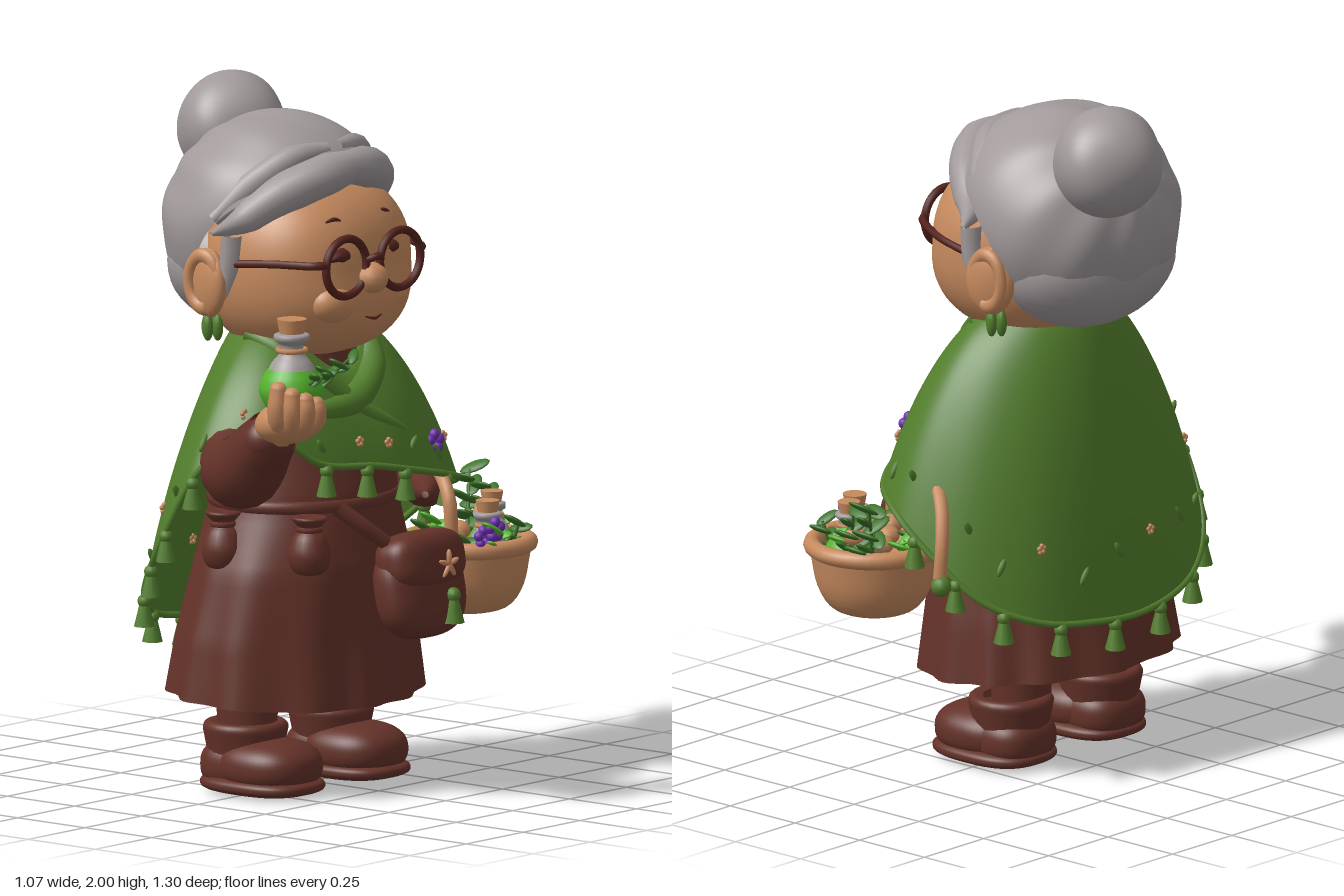
import * as THREE from 'three';

const V = (a) => new THREE.Vector3(...a);
const mat = (name, color) => new THREE.MeshStandardMaterial({ name, color, side: THREE.DoubleSide });

export function createModel() {
  const root = new THREE.Group();
  const skin = mat('skin and wicker', 0xc68a5e), grey = mat('grey hair', 0xa1999a), brown = mat('brown cloth', 0x643229);
  const green = mat('shawl green', 0x527d2c), dark = mat('dark frame', 0x54231d), potion = mat('potion green', 0x55b32c);
  const leafMat = mat('leaf green', 0x3d7328), purple = mat('purple petals', 0x6d2fae);

  const add = (name, geo, m, p = [0, 0, 0], r = [0, 0, 0], parent = root) => {
    const mesh = new THREE.Mesh(geo, m);
    mesh.name = name;
    mesh.position.set(...p);
    mesh.rotation.set(...r);
    parent.add(mesh);
    return mesh;
  };
  // ellipsoid
  const ball = (name, m, p, s, r, parent) => {
    const small = Math.max(...s) < 0.06;
    return add(name, new THREE.SphereGeometry(1, small ? 12 : 32, small ? 8 : 22).scale(...s), m, p, r, parent);
  };
  // ellipsoid squared off by exponent e, its lower front pushed out by jowl
  const boxy = (name, m, p, s, r, e = 2.6, jowl = 0) => {
    const geo = new THREE.SphereGeometry(1, 48, 32), pos = geo.attributes.position;
    for (let i = 0; i < pos.count; i++) {
      const n = [pos.getX(i), pos.getY(i), pos.getZ(i)];
      const k = 1 / Math.pow(n.reduce((a, b) => a + Math.pow(Math.abs(b), e), 0), 1 / e);
      const push = 1 + jowl * Math.max(0, -n[1]) * Math.max(0, n[0]);
      pos.setXYZ(i, n[0] * k * s[0] * push, n[1] * k * s[1], n[2] * k * s[2]);
    }
    geo.computeVertexNormals();
    return add(name, geo, m, p, r);
  };
  // tube whose radius follows a list
  const limb = (name, m, pts, radii, n = 20, sides = 12) => {
    const curve = new THREE.CatmullRomCurve3(pts.map(V));
    const geo = new THREE.TubeGeometry(curve, n, 1, sides);
    const pos = geo.attributes.position, v = new THREE.Vector3();
    for (let i = 0; i <= n; i++) {
      const c = curve.getPointAt(i / n), f = (i / n) * (radii.length - 1), k = Math.min(Math.floor(f), radii.length - 2);
      const rad = THREE.MathUtils.lerp(radii[k], radii[k + 1], f - k);
      for (let j = 0; j <= sides; j++) {
        const q = i * (sides + 1) + j;
        v.fromBufferAttribute(pos, q).sub(c).multiplyScalar(rad).add(c);
        pos.setXYZ(q, v.x, v.y, v.z);
      }
    }
    return add(name, geo, m);
  };
  // closed rings joined into a skin: f(row, angle fraction) gives a point
  const loft = (rows, cols, f) => {
    const p = [], idx = [];
    for (let i = 0; i <= rows; i++) for (let j = 0; j < cols; j++) p.push(...f(i / rows, j / cols));
    for (let i = 0; i < rows; i++) for (let j = 0; j < cols; j++) {
      const a = i * cols + j, b = i * cols + (j + 1) % cols;
      idx.push(a, a + cols, b, b, a + cols, b + cols);
    }
    const g = new THREE.BufferGeometry();
    g.setAttribute('position', new THREE.Float32BufferAttribute(p, 3));
    g.setIndex(idx);
    g.computeVertexNormals();
    return g;
  };
  const lathe = (pts, n = 24) => new THREE.LatheGeometry(new THREE.SplineCurve(pts.map((q) => new THREE.Vector2(...q))).getPoints(24), n);

  // boots and legs
  for (const [z, legZ] of [[0.238, 0.225], [-0.138, -0.1]]) {
    add('leg', new THREE.CylinderGeometry(0.1, 0.085, 0.3, 20), brown, [-0.05, 0.33, legZ]);
    add('bootShaft', lathe([[0.108, 0.02], [0.108, 0.1], [0.118, 0.16], [0.122, 0.19], [0.108, 0.205], [0.08, 0.2]]), brown, [-0.045, 0, z]);
    boxy('bootFoot', brown, [0.045, 0.085, z], [0.15, 0.078, 0.134], undefined, 2.4);
    boxy('bootHeel', brown, [-0.05, 0.08, z], [0.115, 0.075, 0.118]);
    boxy('bootSole', brown, [0.018, 0.03, z], [0.182, 0.03, 0.138], undefined, 2.7);
  }

  // dress: y, centre x, centre z, radius x, radius z
  const dressRows = [[0.28, -0.02, 0.05, 0.32, 0.415], [0.45, -0.015, 0.05, 0.295, 0.395], [0.65, 0, 0.045, 0.275, 0.355], [0.82, 0, 0.035, 0.255, 0.295],
    [0.88, 0, 0.035, 0.25, 0.285], [1.05, 0, 0.03, 0.22, 0.26], [1.18, -0.02, 0.03, 0.155, 0.19], [1.3, -0.02, 0.03, 0.12, 0.14]];
  add('dress', loft(42, 96, (t, u) => {
    const f = t * 7, k = Math.min(6, Math.floor(f)), r = dressRows[k].map((a, i) => THREE.MathUtils.lerp(a, dressRows[k + 1][i], f - k));
    const a = u * Math.PI * 2, fold = 1 + 0.028 * Math.max(0, 1 - t * 2.3) * Math.sin(a * 12 + Math.sin(a * 3));
    return [r[1] + Math.cos(a) * r[3] * fold, r[0] - 0.02 * Math.cos(a) * Math.max(0, 1 - t * 4), r[2] + Math.sin(a) * r[4] * fold];
  }), brown);
  add('belt', new THREE.TorusGeometry(1, 0.05, 10, 64).rotateX(Math.PI / 2).scale(0.248, 0.4, 0.288), brown, [0, 0.84, 0.035]);
  add('collar', new THREE.TorusGeometry(0.13, 0.025, 10, 32).rotateX(Math.PI / 2), brown, [0, 1.22, 0.04], [0, 0, -0.3]);

  // pouches on the belt
  for (const [x, z] of [[-0.03, 0.355], [0.22, 0.27]]) {
    add('pouch', lathe([[0.001, 0], [0.045, 0.012], [0.062, 0.06], [0.048, 0.11], [0.03, 0.135], [0.052, 0.17], [0.001, 0.165]], 18), brown, [x, 0.655, z]);
    add('pouchTie', new THREE.TorusGeometry(0.031, 0.009, 6, 16).rotateX(Math.PI / 2), brown, [x, 0.79, z]);
  }

  // tassel, hung from its top
  const tassel = (p, s = 1) => {
    const g = new THREE.Group();
    g.name = 'tassel';
    ball('tasselKnot', green, [0, -0.015, 0], [0.02, 0.02, 0.02], undefined, g);
    add('tasselFringe', new THREE.CylinderGeometry(0.014, 0.03, 0.065, 9), green, [0, -0.055, 0], undefined, g);
    g.position.set(...p);
    g.scale.setScalar(s);
    root.add(g);
  };

  // shawl from neck ring down to a slanting hem
  const hem = new THREE.CatmullRomCurve3([[0.28, 0.95, 0.05], [0.25, 0.98, 0.26], [0.17, 1.08, 0.4], [0.03, 0.98, 0.52], [-0.07, 0.79, 0.56], [-0.2, 0.6, 0.5],
    [-0.3, 0.5, 0.34], [-0.35, 0.46, 0.1], [-0.35, 0.47, -0.1], [-0.3, 0.5, -0.3], [-0.2, 0.57, -0.43], [-0.08, 0.68, -0.49], [0.06, 0.79, -0.5],
    [0.18, 0.84, -0.43], [0.26, 0.88, -0.28], [0.29, 0.92, -0.1]].map(V), true);
  const shawl = (t, u) => {
    const h = hem.getPoint(u), a = Math.atan2(h.z - 0.02, h.x + 0.03), c = Math.cos(a), s = Math.sin(a);
    const k = 0.3 * Math.sin(t * Math.PI / 2) + 0.7 * t;
    const top = 1.34 - 0.13 * Math.pow(Math.max(0, c), 3);
    return [THREE.MathUtils.lerp(-0.03 + 0.16 * c, h.x, k), THREE.MathUtils.lerp(top, h.y, Math.pow(t, 1.45)), THREE.MathUtils.lerp(0.02 + 0.18 * s, h.z, k)];
  };
  add('shawl', loft(28, 128, shawl), green);
  add('shawlHem', new THREE.TubeGeometry(hem, 140, 0.01, 7, true), green);
  // crossed front wraps, laid just under the shawl surface
  const wrap = (a, radii) => limb('shawlFold', green, a.map(([t, u]) => {
    const p = shawl(t, u);
    return [p[0] - 0.015, p[1], p[2]];
  }), radii, 30);
  wrap([[0.1, 0.8], [0.25, 0.92], [0.45, 0], [0.65, 0.06], [0.8, 0.12]], [0.03, 0.04, 0.045, 0.03, 0.012]);
  wrap([[0.1, 0.2], [0.25, 0.1], [0.5, 0], [0.7, 0.94], [0.85, 0.89]], [0.03, 0.035, 0.033, 0.02, 0.01]);
  for (const u of [0.01, 0.055, 0.2, 0.25, 0.285, 0.325, 0.37, 0.42, 0.48, 0.54, 0.6, 0.66, 0.72, 0.87, 0.95]) tassel(hem.getPoint(u).toArray());

  // embroidered blossoms and leaves near the hem
  const flower = (p, m, s = 0.014) => {
    for (let i = 0; i < 5; i++) ball('petal', m, [p[0], p[1] + s * Math.cos(i * 1.257), p[2] + s * Math.sin(i * 1.257)], [s * 0.7, s * 0.75, s * 0.75]);
  };
  flower(shawl(0.75, 0.095), purple, 0.017);
  flower(shawl(0.84, 0.875), purple, 0.022);
  for (let i = 0; i < 22; i++) {
    const u = (i + 0.3) / 22;
    if (i % 3 === 0) flower(shawl(0.82, u), skin, 0.01);
    else ball('stitchedLeaf', green, shawl(0.84 + 0.05 * (i % 2), u), [0.009, 0.03, 0.011], [0.6 * (i % 2 ? 1 : -1), 0, 0]);
  }

  // arms
  limb('raisedSleeve', brown, [[0.03, 1.1, 0.28], [0.07, 0.99, 0.41], [0.15, 0.98, 0.47], [0.24, 1.06, 0.5], [0.29, 1.11, 0.51]], [0.075, 0.105, 0.115, 0.098, 0.075], 28, 18);
  ball('raisedCuff', brown, [0.27, 1.09, 0.505], [0.07, 0.07, 0.085], [0, 0, 0.7]);
  limb('basketSleeve', brown, [[0, 1.08, -0.2], [0.04, 0.94, -0.34], [0.12, 0.84, -0.35], [0.2, 0.82, -0.27], [0.22, 0.82, -0.24]], [0.06, 0.09, 0.085, 0.07, 0.01], 24, 16);

  // raised hand cupping a bottle, fingers curled on its outer side
  limb('wrist', skin, [[0.27, 1.09, 0.5], [0.31, 1.13, 0.515], [0.35, 1.16, 0.525]], [0.055, 0.062, 0.06], 10);
  ball('palm', skin, [0.37, 1.155, 0.53], [0.108, 0.065, 0.098], [0, 0, 0.25]);
  for (let i = 0; i < 4; i++) {
    const a = 0.05 + i * 0.42, c = Math.cos(a), s = Math.sin(a), top = 1.215 + 0.015 * i, at = (r, y) => [0.37 + r * c, y, 0.525 + r * s * 0.95];
    limb('finger', skin, [at(0.03, 1.14), at(0.08, 1.16), at(0.1, 1.2), at(0.095, top)], [0.034, 0.034, 0.03, 0.025], 14, 10);
    ball('fingertip', skin, at(0.095, top), [0.025, 0.022, 0.025]);
  }
  limb('thumb', skin, [[0.33, 1.13, 0.48], [0.285, 1.17, 0.455], [0.275, 1.21, 0.45], [0.285, 1.24, 0.45]], [0.04, 0.034, 0.03, 0.025], 14, 10);
  ball('thumbTip', skin, [0.285, 1.24, 0.45], [0.025, 0.023, 0.025]);

  // leaf sprig
  const sprig = (p, tip, n = 5, s = 1, m = leafMat) => {
    limb('stem', m, [p, p.map((a, i) => (a + tip[i]) / 2), tip], [0.007, 0.004], 6, 6);
    for (let i = 0; i < n; i++) {
      const k = (i + 1) / n, q = p.map((a, j) => a + (tip[j] - a) * k), side = i % 2 ? 1 : -1;
      ball('leaf', m, [q[0], q[1] + 0.005, q[2] + side * 0.022 * s], [0.022 * s, 0.008, 0.042 * s], [-side * 0.6, i * 0.9, 0]);
    }
  };
  // corked potion bottle standing at p
  const bottle = (p, s = 1) => {
    const g = new THREE.Group();
    g.name = 'potionBottle';
    add('liquid', lathe([[0.001, 0], [0.06, 0.008], [0.092, 0.06], [0.087, 0.1], [0.068, 0.132]]), potion, undefined, undefined, g);
    add('glass', lathe([[0.07, 0.125], [0.056, 0.15], [0.036, 0.175], [0.034, 0.2], [0.05, 0.215], [0.05, 0.23], [0.03, 0.235]]), grey, undefined, undefined, g);
    add('twine', new THREE.TorusGeometry(0.04, 0.008, 6, 20).rotateX(Math.PI / 2), skin, [0, 0.185, 0], undefined, g);
    add('cork', new THREE.CylinderGeometry(0.043, 0.034, 0.05, 14), skin, [0, 0.25, 0], undefined, g);
    g.position.set(...p);
    g.scale.setScalar(s);
    root.add(g);
  };
  bottle([0.37, 1.175, 0.525]);
  sprig([0.43, 1.25, 0.49], [0.52, 1.34, 0.45], 5, 0.8);
  sprig([0.45, 1.27, 0.55], [0.47, 1.3, 0.48], 4, 0.8);

  // satchel
  boxy('satchelBag', brown, [0.335, 0.585, -0.08], [0.075, 0.142, 0.163], [0, 0, 0.2], 2.7);
  boxy('satchelFlap', brown, [0.338, 0.668, -0.08], [0.078, 0.085, 0.152], [0, 0, 0.2], 3);
  limb('satchelStrap', brown, [[0.23, 0.84, 0.16], [0.28, 0.78, 0.1], [0.31, 0.73, 0.04]], [0.025, 0.022], 10, 8);
  for (let i = 0; i < 5; i++) ball('starCharm', skin, [0.419, 0.66 + 0.02 * Math.cos(i * 1.257), -0.11 + 0.02 * Math.sin(i * 1.257)], [0.009, 0.024, 0.008], [i * 1.257, 0, 0]);
  tassel([0.418, 0.585, -0.13], 1.1);

  // basket with handle over the arm
  const bx = 0.215, bz = -0.43;
  add('basketBody', lathe([[0.001, 0], [0.08, 0.003], [0.13, 0.025], [0.163, 0.08], [0.178, 0.15], [0.185, 0.21], [0.16, 0.2], [0.14, 0.16], [0.001, 0.15]], 32), skin, [bx, 0.46, bz]);
  add('basketRim', new THREE.TorusGeometry(0.178, 0.025, 10, 40).rotateX(Math.PI / 2), skin, [bx, 0.66, bz]);
  limb('basketHandle', skin, [[0.3, 0.65, -0.265], [0.29, 0.82, -0.26], [0.18, 0.9, -0.32], [0.02, 0.9, -0.4], [-0.07, 0.84, -0.46], [-0.11, 0.74, -0.5], [-0.11, 0.63, -0.51]], [0.02, 0.02], 40, 10);
  ball('handleKnot', green, [-0.12, 0.62, -0.515], [0.03, 0.03, 0.03]);
  bottle([0.24, 0.59, -0.51], 0.76);
  bottle([0.3, 0.57, -0.42], 0.8);
  for (let i = 0; i < 9; i++) {
    const a = i * 2.4, r = 0.08 + 0.008 * i, x = bx + r * Math.cos(a), z = bz + r * Math.sin(a);
    sprig([x, 0.62, z], [x + 0.03 * Math.cos(a), 0.69 + 0.015 * (i % 3), z + 0.03 * Math.sin(a)], 4, 0.9, i % 2 ? leafMat : potion);
  }
  sprig([0.13, 0.66, -0.53], [0.08, 0.83, -0.6], 7, 1.1);
  sprig([0.2, 0.66, -0.55], [0.15, 0.79, -0.59], 6);
  for (const p of [[0.15, 0.68, -0.47], [0.17, 0.72, -0.56], [0.27, 0.68, -0.3], [0.2, 0.68, -0.39]]) ball('mushroom', skin, p, [0.035, 0.028, 0.035]);
  flower([0.375, 0.72, -0.365], purple, 0.022);
  flower([0.36, 0.7, -0.33], purple, 0.02);

  // head: soft boxy ellipsoid with a full jaw
  boxy('head', skin, [0, 1.51, 0.025], [0.272, 0.265, 0.3], undefined, 2.35, 0.22);
  ball('nose', skin, [0.275, 1.495, 0.06], [0.047, 0.045, 0.05]);
  for (const s of [1, -1]) {
    ball('cheek', skin, [0.215, 1.43, 0.05 + s * 0.11], [0.06, 0.06, 0.08]);
    ball('ear', skin, [-0.1, 1.475, 0.025 + s * 0.31], [0.075, 0.1, 0.035], [0, s * -0.3, 0]);
    add('earFold', new THREE.TorusGeometry(0.054, 0.016, 8, 20, 5).scale(1, 1.4, 1), skin, [-0.105, 1.48, 0.025 + s * 0.33]);
    limb('sideLock', grey, [[-0.02, 1.62, 0.025 + s * 0.305], [-0.025, 1.54, 0.025 + s * 0.305], [-0.05, 1.43, 0.025 + s * 0.3]], [0.03, 0.03, 0.004], 12, 8);
    for (let i = 0; i < 4; i++) ball('earringLeaf', green, [-0.1 + 0.02 * Math.cos(i * 1.57), 1.345, 0.03 + s * 0.29 + 0.02 * Math.sin(i * 1.57)], [0.016, 0.038, 0.016]);
    // spectacles and sleepy eyes
    const ez = 0.06 + s * 0.107, gx = 0.28 - s * 0.01;
    add('lensFrame', new THREE.TorusGeometry(0.083, 0.012, 10, 40), dark, [gx, 1.538, ez], [0, Math.PI / 2 - 0.06, 0]);
    limb('templeArm', dark, [[gx, 1.555, ez + s * 0.085], [gx - 0.02, 1.555, ez + s * 0.12], [0.12, 1.55, 0.03 + s * 0.285], [-0.05, 1.535, 0.025 + s * 0.315]], [0.012, 0.011], 20, 8);
    limb('eye', dark, [[0.245, 1.555, ez - 0.045], [0.255, 1.572, ez], [0.238, 1.555, ez + 0.045]], [0.004, 0.022, 0.004], 12, 8);
    limb('brow', dark, [[0.227, 1.665, ez - 0.025], [0.225, 1.672, ez], [0.215, 1.665, ez + 0.025]], [0.003, 0.007, 0.003], 12, 6);
  }
  limb('glassesBridge', dark, [[0.283, 1.55, 0.03], [0.297, 1.56, 0.06], [0.278, 1.55, 0.09]], [0.011, 0.011], 10, 8);
  limb('smile', dark, [[0.277, 1.385, 0.02], [0.281, 1.378, 0.055], [0.276, 1.387, 0.09]], [0.002, 0.005, 0.002], 12, 6);

  // hair cap: swept shell around a tilted axis with a shaped hairline
  const axis = 145 * Math.PI / 180;
  const hairPoint = (t, u) => {
    const a = u * Math.PI * 2, c = Math.cos(a), th = t * (90 + 24 * c * c) * Math.PI / 180;
    const k = 1 + 0.01 * Math.sin(a * 9 + t * 6) * Math.sin(t * Math.PI) - 0.03 * Math.pow(t, 10);
    const p = Math.cos(th) * k, q = Math.sin(th) * c * k;
    return [-0.1 + 0.33 * (p * Math.cos(axis) + q * Math.sin(axis)), 1.61 + 0.32 * (p * Math.sin(axis) - q * Math.cos(axis)), 0.025 + 0.34 * Math.sin(th) * Math.sin(a) * k];
  };
  add('hair', loft(36, 110, hairPoint), grey);
  ball('hairNape', grey, [-0.19, 1.5, 0.025], [0.215, 0.2, 0.295]);
  // soft rolls swept from the parting to the temples
  for (const s of [1, -1]) {
    limb('sweptRoll', grey, [[0.155, 1.8, 0.03 - s * 0.05], [0.15, 1.785, 0.03 + s * 0.09], [0.085, 1.735, 0.03 + s * 0.2], [0, 1.66, 0.03 + s * 0.285], [-0.04, 1.63, 0.03 + s * 0.365]], [0.04, 0.06, 0.062, 0.05, 0.006], 28, 14);
    limb('sweptStrand', grey, [[0.1, 1.845, 0.03 + s * 0.02], [0.07, 1.83, 0.03 + s * 0.13], [0, 1.755, 0.03 + s * 0.235], [-0.08, 1.66, 0.03 + s * 0.31]], [0.02, 0.042, 0.044, 0.02], 24, 12);
  }

  // bun
  add('bun', loft(24, 60, (t, u) => {
    const a = u * Math.PI * 2, th = t * Math.PI, k = 1 + 0.04 * Math.sin(a * 4 + t * 5) * Math.sin(th);
    return [-0.375 + 0.153 * k * Math.sin(th) * Math.cos(a), 1.84 + 0.16 * Math.cos(th), -0.09 + 0.163 * k * Math.sin(th) * Math.sin(a)];
  }), grey);
  ball('bunBase', grey, [-0.28, 1.8, -0.06], [0.1, 0.11, 0.13], [0, 0, 0.85]);
  return root;
}
